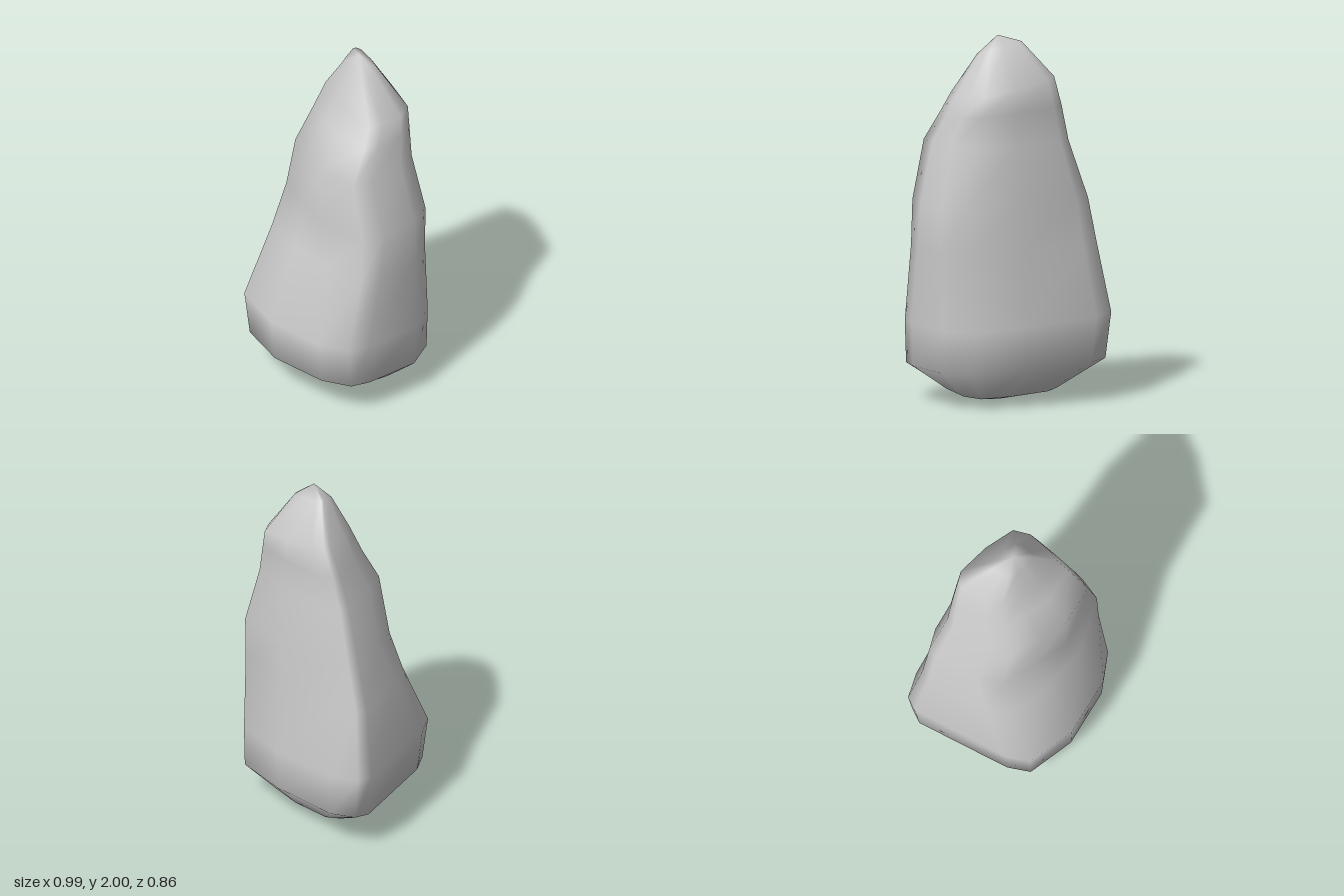
import * as THREE from 'three';

// Normalised outlines, counter-clockwise from the front-left corner: [x, z]
const LOWER = [[-0.65, 0.86], [-0.08, 1], [0.6, 0.87], [0.9, 0.66], [0.97, 0.4], [1, -0.33],
  [0.82, -0.73], [0.2, -0.92], [-0.65, -1], [-0.93, -0.87], [-1, -0.7], [-0.78, 0.58]];
const UPPER = [[-0.75, 0.62], [-0.25, 0.83], [0.2, 1], [0.9, 0.87], [0.98, 0.45], [1, -0.25],
  [0.83, -0.72], [0.1, -0.95], [-0.7, -1], [-0.95, -0.84], [-1, -0.65], [-0.86, 0.15]];

// Cross-sections: [y, xMin, xMax, zMin, zMax, blend to upper outline, slope along x, slope along z]
const RINGS = [
  [0.07, -0.23, 0.31, -0.25, 0.22, 0, -0.05, 0.1],
  [0.21, -0.47, 0.48, -0.41, 0.41, 0, -0.03, 0],
  [0.45, -0.5, 0.48, -0.425, 0.43, 0, -0.05, 0],
  [0.85, -0.435, 0.49, -0.365, 0.285, 0.5, 0, 0],
  [1.1, -0.375, 0.485, -0.36, 0.237, 1, 0, 0],
  [1.42, -0.27, 0.40, -0.315, 0.235, 1, 0, 0],
  [1.6, -0.22, 0.36, -0.31, 0.12, 1, -0.05, 0],
  [1.735, -0.165, 0.33, -0.31, 0.055, 1, -0.18, 0],
  [1.93, -0.03, 0.19, -0.17, -0.02, 1, -0.18, -0.25],
];
const BOTTOM = [0.03, 0, -0.03];
const TOP = [0.085, 2, -0.09];

function rockGeometry() {
  const n = LOWER.length;
  const positions = [];
  const index = [];
  const { lerp } = THREE.MathUtils;

  for (const [y, x0, x1, z0, z1, blend, slopeX, slopeZ] of RINGS) {
    for (let i = 0; i < n; i++) {
      // offsets from the centre of the cross-section
      const dx = lerp(LOWER[i][0], UPPER[i][0], blend) * (x1 - x0) / 2;
      const dz = lerp(LOWER[i][1], UPPER[i][1], blend) * (z1 - z0) / 2;
      positions.push((x0 + x1) / 2 + dx, y + slopeX * dx + slopeZ * dz, (z0 + z1) / 2 + dz);
    }
  }
  const bottom = RINGS.length * n;
  const last = bottom - n;
  positions.push(...BOTTOM, ...TOP);

  for (let i = 0; i < n; i++) {
    const j = (i + 1) % n;
    // side walls
    for (let r = 0; r < last; r += n) {
      index.push(r + i, r + j, r + n + j, r + i, r + n + j, r + n + i);
    }
    // blunt underside and peak
    index.push(bottom, j, i, last + i, last + j, bottom + 1);
  }

  const geometry = new THREE.BufferGeometry();
  geometry.setAttribute('position', new THREE.Float32BufferAttribute(positions, 3));
  geometry.setIndex(index);
  geometry.computeVertexNormals();
  return geometry;
}

export function createModel() {
  const group = new THREE.Group();
  group.name = 'standingRock';
  const rock = new THREE.Mesh(rockGeometry(), new THREE.MeshStandardMaterial({ color: 0xcccccc }));
  rock.name = 'rock';
  group.add(rock);
  return group;
}
